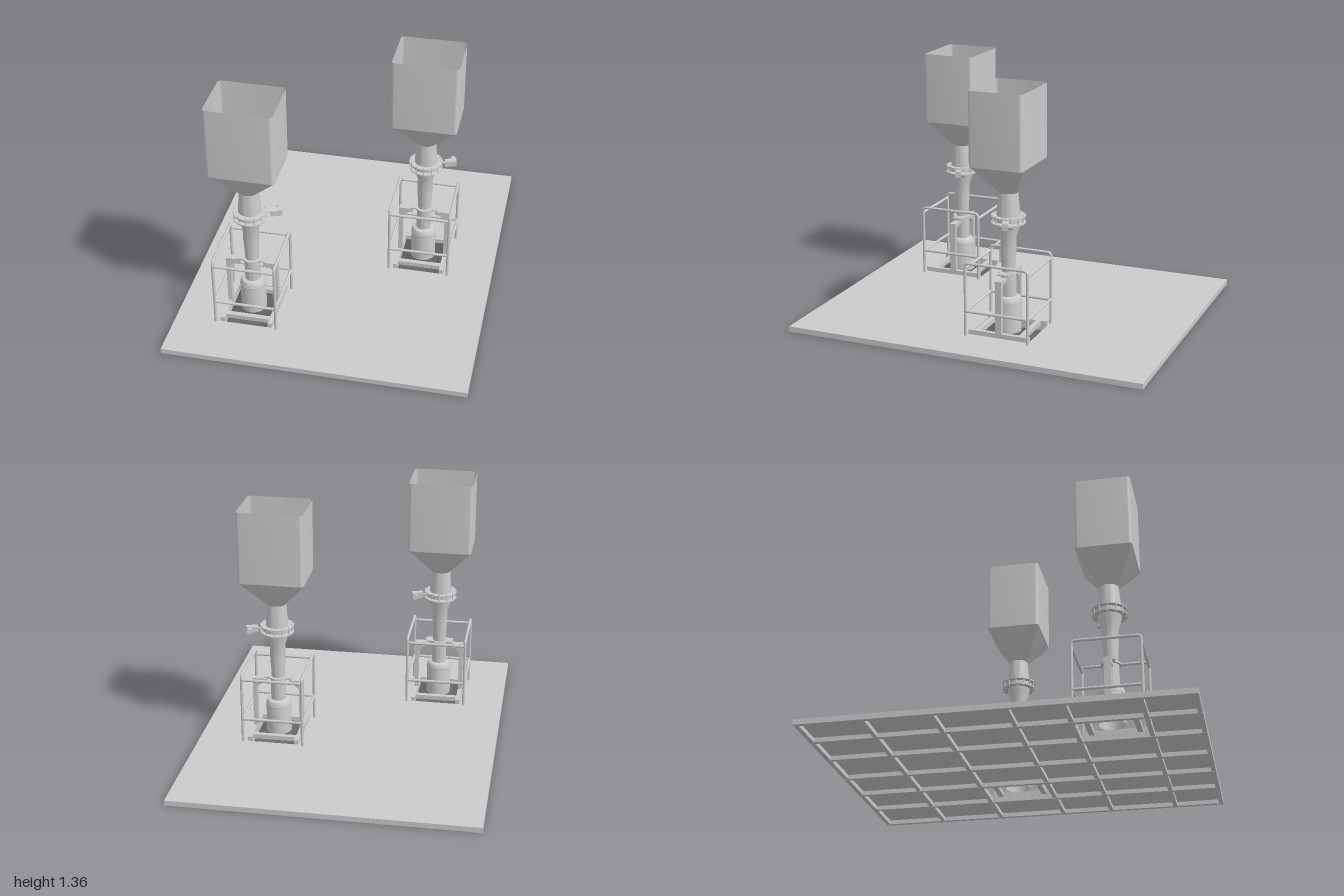
import * as THREE from 'three';
import { toCreasedNormals } from 'three/addons/utils/BufferGeometryUtils.js';

const mat = new THREE.MeshStandardMaterial({ color: 0xcccccc });
const thin = new THREE.MeshStandardMaterial({ color: 0xcccccc, side: THREE.DoubleSide });

const HALF_X = 0.822, DECK = 0.03;
const HOLE_X = 0.12, HOLE_Z = 0.173;
const STATIONS = [[-0.43, 0.54], [0.405, -0.113]];

function add(parent, name, geometry, x = 0, y = 0, z = 0, material = mat) {
  const mesh = new THREE.Mesh(geometry, material);
  mesh.name = name;
  mesh.position.set(x, y, z);
  parent.add(mesh);
  return mesh;
}

// box given by its limits on each axis
function span(parent, name, x0, x1, y0, y1, z0, z1) {
  return add(parent, name, new THREE.BoxGeometry(x1 - x0, y1 - y0, z1 - z0),
    (x0 + x1) / 2, (y0 + y1) / 2, (z0 + z1) / 2);
}

// straight round bar between two points
function bar(parent, name, a, b, r) {
  const p = new THREE.Vector3(...a), q = new THREE.Vector3(...b);
  const mesh = add(parent, name, new THREE.CylinderGeometry(r, r, p.distanceTo(q), 12));
  mesh.position.copy(p).lerp(q, 0.5);
  mesh.quaternion.setFromUnitVectors(new THREE.Vector3(0, 1, 0), q.sub(p).normalize());
  return mesh;
}

function lathe(parent, name, points) {
  const geo = new THREE.LatheGeometry(points.map(p => new THREE.Vector2(...p)), 40);
  return add(parent, name, toCreasedNormals(geo, 0.35), 0, 0, 0, thin);
}

function flatRing(outer, inner, height) {
  const s = new THREE.Shape().absarc(0, 0, outer, 0, Math.PI * 2);
  s.holes.push(new THREE.Path().absarc(0, 0, inner, 0, Math.PI * 2, true));
  const g = new THREE.ExtrudeGeometry(s, { depth: height, bevelEnabled: false, curveSegments: 20 });
  return toCreasedNormals(g.rotateX(-Math.PI / 2), 0.6);
}

// loop of a rounded rectangle; zero half sizes give a circle of radius r
function loop(hx, hz, r, y) {
  const pts = [];
  for (let c = 0; c < 4; c++) for (let j = 0; j <= 6; j++) {
    const a = (c + j / 6) * Math.PI / 2;
    const sx = c === 0 || c === 3 ? 1 : -1, sz = c < 2 ? 1 : -1;
    pts.push([sx * hx + r * Math.cos(a), y, sz * hz + r * Math.sin(a)]);
  }
  return pts;
}

function hopperGeometry() {
  const rings = [loop(0, 0, 0.052, 0.8), loop(0.162, 0.132, 0.018, 0.96), loop(0.162, 0.132, 0.018, 1.36)];
  const n = rings[0].length, pos = [], index = [];
  rings.forEach(r => r.forEach(p => pos.push(...p)));
  for (let k = 0; k < rings.length - 1; k++) for (let i = 0; i < n; i++) {
    const a = k * n + i, b = k * n + (i + 1) % n;
    index.push(a, a + n, b + n);
    if (k > 0 || i % 7 !== 6) index.push(a, b + n, b);
  }
  const g = new THREE.BufferGeometry();
  g.setAttribute('position', new THREE.Float32BufferAttribute(pos, 3));
  g.setIndex(index);
  return toCreasedNormals(g, 0.45);
}

// deck plate with an opening under each station, carried by a beam grid
function buildPlatform(root) {
  const g = new THREE.Group();
  g.name = 'platform';
  root.add(g);
  const rect = (T, x, z, hx, hz) => new T([[-1, -1], [1, -1], [1, 1], [-1, 1]]
    .map(([a, b]) => new THREE.Vector2(x + a * hx, -z + b * hz)));
  const s = rect(THREE.Shape, 0, 0, HALF_X, 1);
  STATIONS.forEach(([x, z]) => s.holes.push(rect(THREE.Path, x, z, HOLE_X, HOLE_Z)));
  const plate = new THREE.ExtrudeGeometry(s, { depth: 0.006, bevelEnabled: false }).rotateX(-Math.PI / 2);
  add(g, 'deckPlate', plate, 0, DECK - 0.006, 0);
  const w = 0.012, top = DECK - 0.006;
  [-HALF_X + w, -0.563, -0.297, 0, 0.272, 0.538, HALF_X - w].forEach(x =>
    span(g, 'longBeam', x - w, x + w, 0, top, -1, 1));
  [-1 + w, -0.65, -0.299, 0.073, 0.354, 0.726, 1 - w].forEach(z =>
    span(g, 'crossBeam', -HALF_X, HALF_X, 0.001, top, z - w, z + w));
}

// flanged butterfly valve with an offset actuator
function buildValve(parent) {
  const v = new THREE.Group();
  v.name = 'valve';
  v.position.y = 0.653;
  v.rotation.y = 0.27;
  parent.add(v);
  add(v, 'upperFlange', flatRing(0.093, 0.058, 0.006), 0, 0.015, 0);
  add(v, 'lowerFlange', flatRing(0.093, 0.058, 0.006), 0, -0.021, 0);
  add(v, 'valveBody', flatRing(0.078, 0.056, 0.018), 0, -0.009, 0);
  add(v, 'valveDisc', new THREE.CylinderGeometry(0.056, 0.056, 0.005, 32));
  bar(v, 'valveShaft', [-0.056, 0.003, 0], [0.12, 0.003, 0], 0.006);
  for (let i = 0; i < 12; i++) {
    const a = (i + 0.5) * Math.PI / 6;
    add(v, 'flangeBolt', new THREE.CylinderGeometry(0.004, 0.004, 0.052, 6),
      0.085 * Math.cos(a), 0, 0.085 * Math.sin(a));
  }
  span(v, 'actuatorGearbox', 0.105, 0.145, -0.014, 0.018, -0.016, 0.016);
  bar(v, 'actuatorMotor', [0.155, 0.002, 0.015], [0.155, 0.002, -0.045], 0.016);
  span(v, 'actuatorCover', 0.14, 0.17, -0.016, 0.02, -0.02, 0.01);
}

// base beams, two bracketed posts and the plate that carries the pipe
function buildSupport(parent) {
  const f = new THREE.Group();
  f.name = 'supportFrame';
  parent.add(f);
  for (const s of [-1, 1]) {
    const side = new THREE.Group();
    side.name = 'supportSide';
    if (s < 0) side.rotation.y = Math.PI;
    f.add(side);
    span(side, 'baseSideBeam', 0.12, 0.144, DECK, 0.055, -0.172, 0.172);
    span(side, 'baseCrossBeam', -0.12, 0.12, DECK, 0.055, 0.11, 0.138);
    span(side, 'post', 0.12, 0.143, DECK, 0.345, -0.018, 0.018);
    span(side, 'bracketArm', 0.064, 0.12, 0.323, 0.345, -0.018, 0.018);
    const t = new THREE.Shape([[0.122, 0.29], [0.122, 0.325], [0.08, 0.325], [0.09, 0.316]]
      .map(p => new THREE.Vector2(...p)));
    add(side, 'gusset', new THREE.ExtrudeGeometry(t, { depth: 0.024, bevelEnabled: false }), 0, 0, -0.012);
    span(side, 'pipeLug', 0.038, 0.078, 0.355, 0.363, -0.03, 0.03);
    span(side, 'lugPad', 0.064, 0.074, 0.345, 0.356, -0.015, 0.015);
  }
  add(f, 'pipeCollar', flatRing(0.054, 0.036, 0.01), 0, 0.354, 0);
}

// tubular guard: bent side hoops joined by cross rails
function buildGuard(parent) {
  const g = new THREE.Group();
  g.name = 'guardRail';
  parent.add(g);
  const R = 0.008, X = 0.168, Z = 0.177, H = 0.434, C = 0.022;
  const V = (y, z) => new THREE.Vector3(0, y, z);
  const path = new THREE.CurvePath();
  path.add(new THREE.LineCurve3(V(DECK, Z), V(H - C, Z)));
  path.add(new THREE.QuadraticBezierCurve3(V(H - C, Z), V(H, Z), V(H, Z - C)));
  path.add(new THREE.LineCurve3(V(H, Z - C), V(H, C - Z)));
  path.add(new THREE.QuadraticBezierCurve3(V(H, C - Z), V(H, -Z), V(H - C, -Z)));
  path.add(new THREE.LineCurve3(V(H - C, -Z), V(DECK, -Z)));
  const hoop = new THREE.TubeGeometry(path, 120, R, 10);
  for (const s of [-1, 1]) {
    add(g, 'sideHoop', hoop, s * X, 0, 0);
    bar(g, 'sideMidRail', [s * X, 0.167, -Z], [s * X, 0.167, Z], R);
    for (const y of [0.167, 0.405]) bar(g, 'crossRail', [-X, y, s * Z], [X, y, s * Z], R);
  }
}

function buildStation(root, x, z) {
  const g = new THREE.Group();
  g.name = 'fillingStation';
  g.position.set(x, 0, z);
  root.add(g);
  add(g, 'hopper', hopperGeometry(), 0, 0, 0, thin);
  lathe(g, 'inletCone', [[0.063, 0.668], [0.062, 0.69], [0.052, 0.8]]);
  lathe(g, 'fillPipe', [[0.042, 0.22], [0.042, 0.354], [0.037, 0.364], [0.038, 0.4], [0.043, 0.48],
    [0.043, 0.555], [0.062, 0.615], [0.064, 0.635]]);
  lathe(g, 'fillSpout', [[0.07, DECK], [0.07, 0.198], [0.068, 0.208], [0.061, 0.222], [0.042, 0.228]]);
  add(g, 'spoutBand', flatRing(0.072, 0.069, 0.012), 0, 0.185, 0);
  buildValve(g);
  buildSupport(g);
  buildGuard(g);
}

export function createModel() {
  const root = new THREE.Group();
  root.name = 'hopperPlatform';
  buildPlatform(root);
  STATIONS.forEach(([x, z]) => buildStation(root, x, z));
  return root;
}
